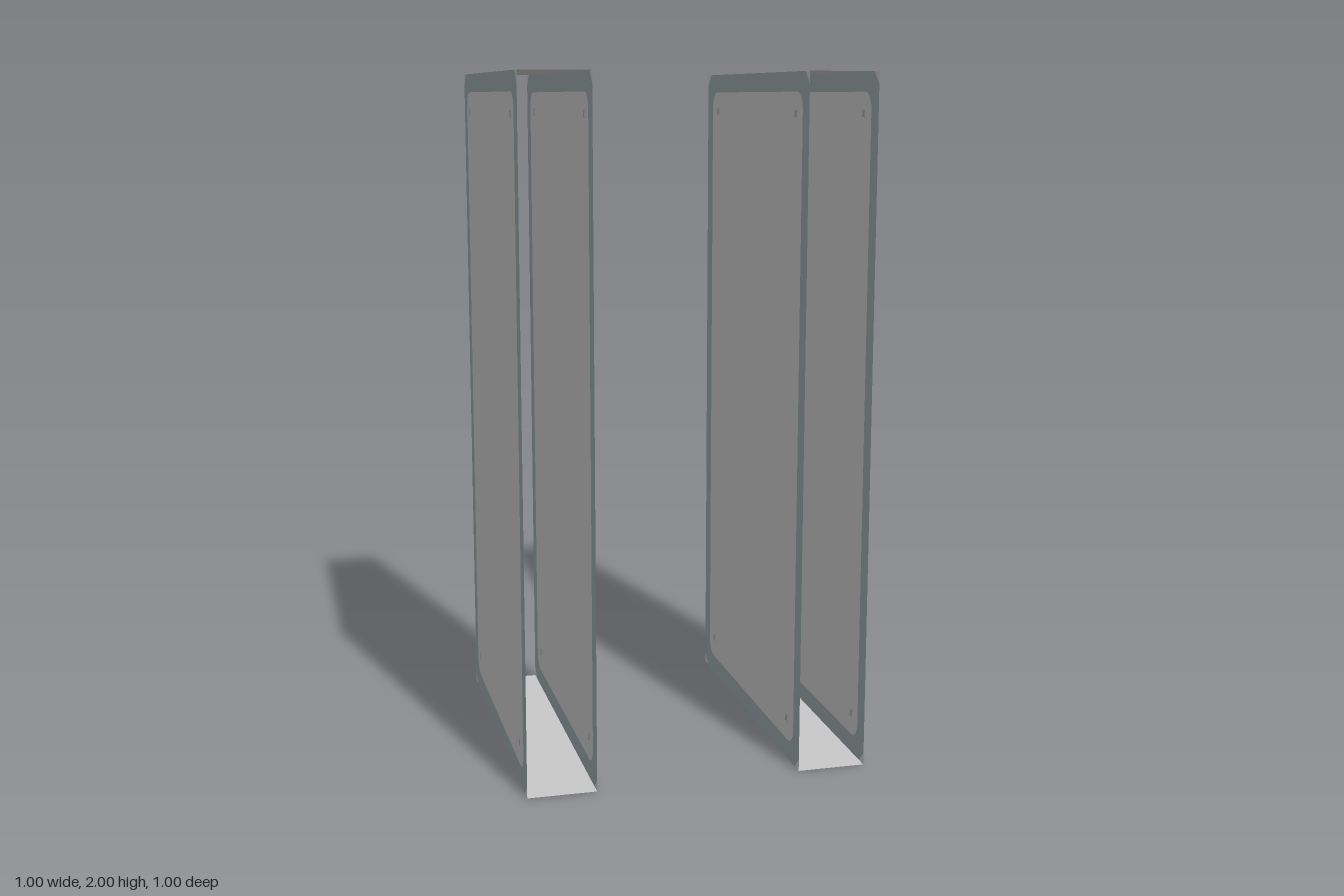
import * as THREE from 'three';

const W = 1, H = 2, DEPTH = 0.2, BORDER = 0.055, CUT = 0.035;

// Rectangle centred on the origin with chamfered corners
function chamfered(Type, w, h, c) {
  const x = w / 2, y = h / 2;
  return new Type([
    [x - c, -y], [x, -y + c], [x, y - c], [x - c, y],
    [-x + c, y], [-x, y - c], [-x, -y + c], [-x + c, -y],
  ].map(([a, b]) => new THREE.Vector2(a, b)));
}

// Rectangle centred on the origin with rounded corners
function rounded(Type, w, h, r) {
  const x = w / 2, y = h / 2, p = new Type();
  p.moveTo(-x + r, -y);
  p.lineTo(x - r, -y).absarc(x - r, -y + r, r, -Math.PI / 2, 0);
  p.lineTo(x, y - r).absarc(x - r, y - r, r, 0, Math.PI / 2);
  p.lineTo(-x + r, y).absarc(-x + r, y - r, r, Math.PI / 2, Math.PI);
  p.lineTo(-x, -y + r).absarc(-x + r, -y + r, r, Math.PI, Math.PI * 1.5);
  return p;
}

// Small four-pointed fixing mark
function star(Type, cx, cy) {
  const pts = [];
  for (let i = 0; i < 8; i++) {
    const a = (i + 0.5) * Math.PI / 4 + Math.PI / 8, r = i % 2 ? 0.007 : 0.019;
    pts.push(new THREE.Vector2(cx + r * Math.cos(a), cy + r * Math.sin(a)));
  }
  return new Type(pts);
}

export function createModel() {
  const panelGrey = new THREE.MeshStandardMaterial({ color: 0xc8c8c8, side: THREE.DoubleSide });
  panelGrey.name = 'panelGrey';
  const borderBlue = new THREE.MeshStandardMaterial({ color: 0x98a6aa, side: THREE.DoubleSide });
  borderBlue.name = 'borderBlueGrey';

  const iw = W - 2 * BORDER, ih = H - 2 * BORDER;
  const marks = [[-0.385, 0.885], [0.385, 0.885], [-0.39, -0.88], [0.38, -0.88]];

  // Border ring and the panel inside it, coplanar
  const ring = chamfered(THREE.Shape, W, H, CUT);
  ring.holes.push(rounded(THREE.Path, iw, ih, 0.05));
  const field = rounded(THREE.Shape, iw, ih, 0.05);
  marks.forEach(([x, y]) => field.holes.push(star(THREE.Path, x, y)));

  // Light triangles in the outer corners
  const corners = [];
  for (const sx of [-1, 1]) for (const sy of [-1, 1]) {
    const x = sx * W / 2, y = sy * H / 2;
    const pts = [[x, y], [x - sx * CUT, y], [x, y - sy * CUT]];
    corners.push(new THREE.Shape(pts.map(([a, b]) => new THREE.Vector2(a, b))));
  }

  const sideParts = [
    ['border', ring, borderBlue],
    ['panel', field, panelGrey],
    ['cornerTips', corners, panelGrey],
    ['fixingMarks', marks.map(([x, y]) => star(THREE.Shape, x, y)), borderBlue],
  ].map(([name, shape, mat]) => [name, new THREE.ShapeGeometry(shape, 8).rotateY(Math.PI / 2), mat]);
  const capGeo = new THREE.PlaneGeometry(DEPTH, W).rotateX(-Math.PI / 2);

  const model = new THREE.Group();
  model.name = 'openPanelPair';

  // Two sleeves, open at the front and back
  for (const s of [-1, 1]) {
    const sleeve = new THREE.Group();
    sleeve.name = s > 0 ? 'leftSleeve' : 'rightSleeve';
    sleeve.position.x = s * 0.4;
    for (const e of [-1, 1]) {
      const wall = new THREE.Group();
      wall.name = e * s > 0 ? 'outerWall' : 'innerWall';
      wall.position.set(e * DEPTH / 2, H / 2, 0);
      wall.rotation.y = e > 0 ? 0 : Math.PI;
      for (const [name, geo, mat] of sideParts) {
        const mesh = new THREE.Mesh(geo, mat);
        mesh.name = name;
        wall.add(mesh);
      }
      sleeve.add(wall);

      const cap = new THREE.Mesh(capGeo, panelGrey);
      cap.name = e > 0 ? 'topCap' : 'bottomCap';
      cap.position.y = e > 0 ? H : 0;
      if (e < 0) cap.rotation.x = Math.PI;
      sleeve.add(cap);
    }
    model.add(sleeve);
  }
  return model;
}
